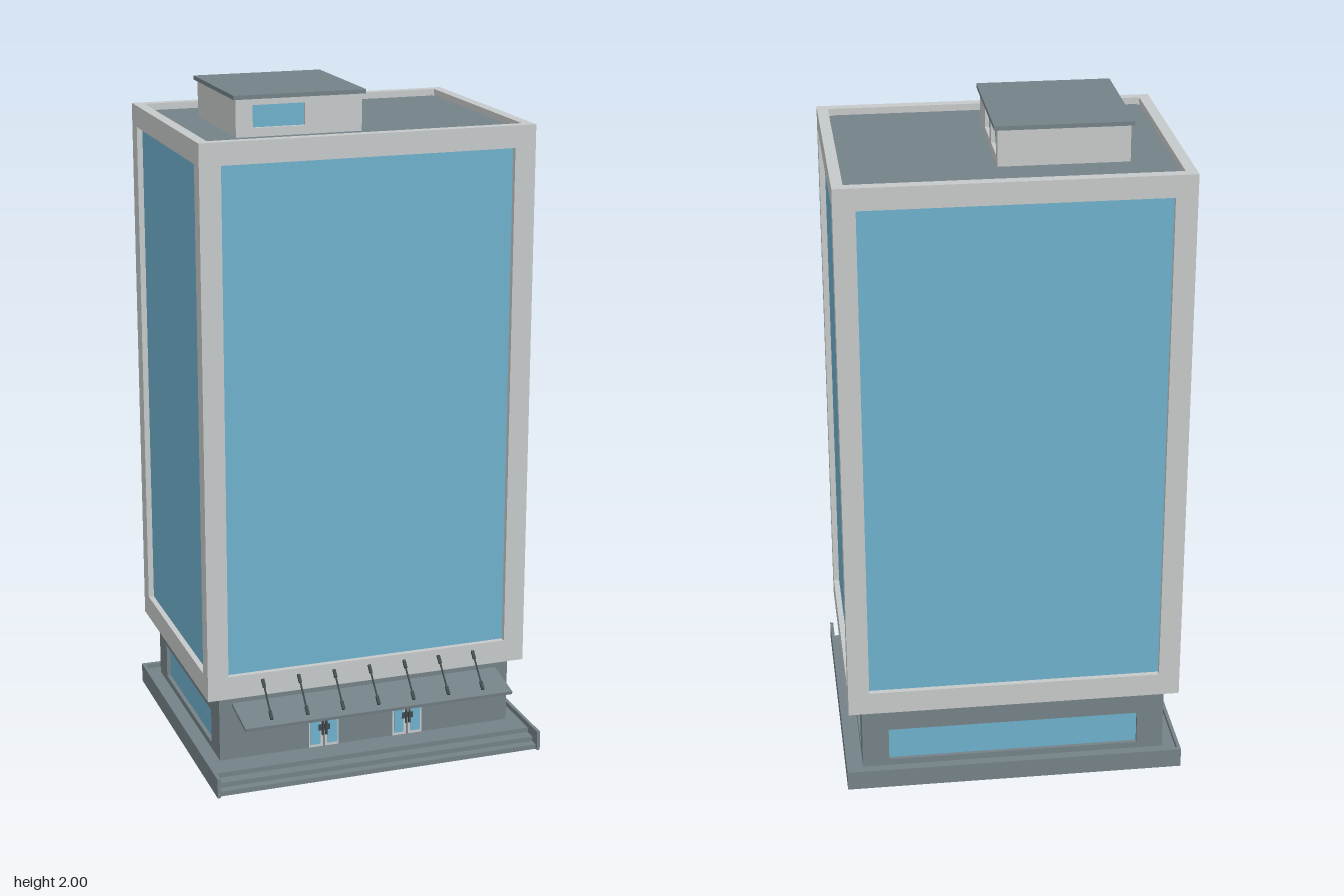
import * as THREE from 'three';

const mat = (name, color) => new THREE.MeshStandardMaterial({ name, color });

export function createModel() {
  const concrete = mat('light concrete', 0xc5c8c8);
  const slate = mat('slate grey', 0x748187);
  const glass = mat('blue glass', 0x6dafca);
  const metal = mat('dark metal', 0x3f484c);

  const model = new THREE.Group();
  model.name = 'officeTower';

  // Box given by its extents along each axis
  function box(name, material, [x0, x1], [y0, y1], [z0, z1], parent = model) {
    const mesh = new THREE.Mesh(new THREE.BoxGeometry(x1 - x0, y1 - y0, z1 - z0), material);
    mesh.position.set((x0 + x1) / 2, (y0 + y1) / 2, (z0 + z1) / 2);
    mesh.name = name;
    parent.add(mesh);
    return mesh;
  }

  function rect(target, u0, u1, v0, v1) {
    target.moveTo(u0, v0);
    target.lineTo(u1, v0);
    target.lineTo(u1, v1);
    target.lineTo(u0, v1);
    target.closePath();
    return target;
  }

  // Four walls with cut openings and recessed panes; openings are [from, to, bottom, top]
  function walls(name, material, [x0, x1], [y0, y1], [z0, z1], thick, recess, openings) {
    const group = new THREE.Group();
    group.name = name;
    const sides = [
      ['front', 0, 1, x0, x1, [0, 0, z1]],
      ['back', Math.PI, -1, x0, x1, [0, 0, z0]],
      ['right', Math.PI / 2, -1, z0 + thick, z1 - thick, [x1, 0, 0]],
      ['left', -Math.PI / 2, 1, z0 + thick, z1 - thick, [x0, 0, 0]],
    ];
    for (const [side, turn, sign, from, to, place] of sides) {
      const span = (a, b) => (sign > 0 ? [a, b] : [-b, -a]);
      const facade = new THREE.Group();
      facade.name = side + 'Facade';
      facade.rotation.y = turn;
      facade.position.set(...place);
      const shape = rect(new THREE.Shape(), ...span(from, to), y0, y1);
      for (const [a, b, v0, v1] of openings[side] || []) {
        const [u0, u1] = span(a, b);
        shape.holes.push(rect(new THREE.Path(), u0, u1, v0, v1));
        box('windowPane', glass, [u0, u1], [v0, v1], [-recess - 0.004, -recess], facade);
      }
      const wall = new THREE.Mesh(
        new THREE.ExtrudeGeometry(shape, { depth: thick, bevelEnabled: false }), material);
      wall.position.z = -thick;
      wall.name = 'wall';
      facade.add(wall);
      group.add(facade);
    }
    model.add(group);
  }

  // Plinth with raised rim and entrance steps
  box('plinthFloor', slate, [-0.5, 0.5], [0, 0.045], [-0.437, 0.38]);
  box('upperStep', slate, [-0.5, 0.5], [0, 0.03], [0.38, 0.415]);
  box('lowerStep', slate, [-0.5, 0.5], [0, 0.015], [0.415, 0.44]);
  box('backRim', slate, [-0.5, 0.5], [0, 0.06], [-0.45, -0.437]);
  for (const s of [-1, 1]) {
    box('sideRim', slate, s < 0 ? [-0.51, -0.5] : [0.5, 0.51], [0, 0.06], [-0.45, 0.45]);
  }

  // Ground floor
  const low = [-0.315, 0.21, 0.065, 0.17];
  walls('groundFloor', slate, [-0.46, 0.46], [0.045, 0.25], [-0.4, 0.3], 0.02, 0.012, {
    back: [[-0.38, 0.38, 0.065, 0.17]], left: [low], right: [low],
  });

  // Double entrance doors
  for (const cx of [-0.135, 0.132]) {
    const door = new THREE.Group();
    door.name = 'entranceDoor';
    door.position.x = cx;
    model.add(door);
    box('doorFrame', concrete, [-0.047, 0.047], [0.046, 0.173], [0.299, 0.303], door);
    for (const s of [-1, 1]) {
      const across = (a, b) => (s > 0 ? [a, b] : [-b, -a]);
      box('doorGlass', glass, across(0.012, 0.042), [0.055, 0.167], [0.302, 0.305], door);
      box('doorHandle', metal, across(0.003, 0.008), [0.085, 0.135], [0.305, 0.312], door);
      box('doorLock', metal, across(0.002, 0.018), [0.1, 0.118], [0.303, 0.308], door);
    }
    box('doorGap', metal, [-0.001, 0.001], [0.046, 0.172], [0.303, 0.3045], door);
  }

  // Sloping canopy
  const canopy = new THREE.Mesh(new THREE.BoxGeometry(0.84, 0.01, 0.143), slate);
  canopy.name = 'canopy';
  canopy.position.set(0, 0.208, 0.366);
  canopy.rotation.x = 0.17;
  model.add(canopy);

  // Canopy tie rods with anchors at both ends
  const top = new THREE.Vector3(0, 0.3, 0.326);
  const foot = new THREE.Vector3(0, 0.21, 0.416);
  const along = top.clone().sub(foot);
  const up = new THREE.Vector3(0, 1, 0);
  for (let i = -3; i <= 3; i++) {
    const tie = new THREE.Group();
    tie.name = 'canopyTie';
    tie.position.x = i * 0.111;
    const rod = new THREE.Mesh(new THREE.CylinderGeometry(0.0028, 0.0028, along.length(), 8), metal);
    rod.name = 'rod';
    rod.position.copy(top).add(foot).multiplyScalar(0.5);
    rod.quaternion.setFromUnitVectors(up, along.clone().normalize());
    tie.add(rod);
    for (const t of [0.1, 0.9]) {
      const anchor = new THREE.Mesh(new THREE.BoxGeometry(0.009, 0.026, 0.007), metal);
      anchor.name = 'anchor';
      anchor.position.lerpVectors(foot, top, t);
      anchor.quaternion.copy(rod.quaternion);
      tie.add(anchor);
    }
    model.add(tie);
  }

  // Main tower: framed glass on all sides, with a parapet around the roof
  const wide = [-0.437, 0.437, 0.32, 1.835];
  const narrow = [-0.375, 0.275, 0.32, 1.835];
  walls('tower', concrete, [-0.5, 0.5], [0.25, 1.9], [-0.43, 0.325], 0.032, 0.017, {
    front: [wide], back: [wide], left: [narrow], right: [narrow],
  });
  box('towerUnderside', concrete, [-0.47, 0.47], [0.25, 0.27], [-0.4, 0.295]);
  box('roof', slate, [-0.468, 0.468], [1.86, 1.88], [-0.4, 0.295]);
  for (const x of [-0.463, 0.463]) {
    for (const z of [-0.4, 0.291]) {
      box('roofCorner', concrete, [x - 0.005, x + 0.005], [1.88, 1.885], [z - 0.005, z + 0.005]);
    }
  }

  // Rooftop room and its flat cap
  walls('roofRoom', concrete, [-0.345, 0.03], [1.88, 1.99], [-0.24, 0.158], 0.02, 0.012, {
    front: [[-0.295, -0.14, 1.905, 1.97]],
    right: [[-0.06, 0.045, 1.905, 1.97], [-0.21, -0.1, 1.905, 1.97]],
  });
  box('roofRoomCap', slate, [-0.353, 0.04], [1.988, 2], [-0.253, 0.167]);

  return model;
}
